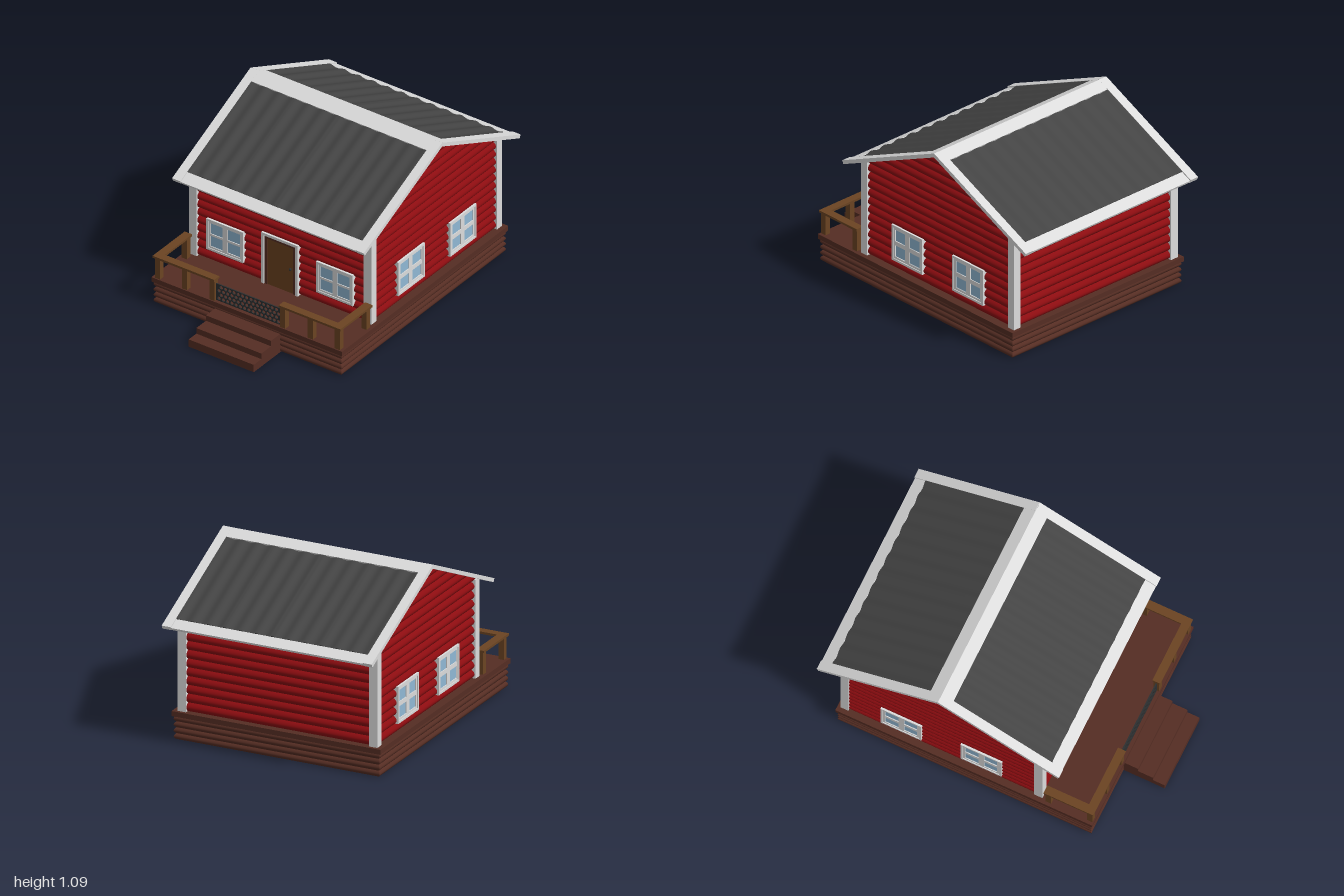
import * as THREE from 'three';
import { toCreasedNormals } from 'three/addons/utils/BufferGeometryUtils.js';

const mat = (name, color, side = THREE.FrontSide) => {
  const m = new THREE.MeshStandardMaterial({ color, side });
  m.name = name;
  return m;
};

export function createModel() {
  const model = new THREE.Group();
  model.name = 'cabin';
  const red = mat('red logs', 0x8c0c10, THREE.DoubleSide);
  const white = mat('white trim', 0xdcdcdc);
  const roofGrey = mat('roof grey', 0x444444);
  const deckBrown = mat('deck brown', 0x552d23, THREE.DoubleSide);
  const wood = mat('rail wood', 0x6b4422);
  const doorWood = mat('door wood', 0x6b421f);
  const glass = mat('glass blue', 0x90b8d4);
  const iron = mat('dark iron', 0x2c2f30, THREE.DoubleSide);

  const add = (parent, name, geo, material, x = 0, y = 0, z = 0) => {
    const m = new THREE.Mesh(geo, material);
    m.name = name;
    m.position.set(x, y, z);
    parent.add(m);
    return m;
  };
  // box given by its minimum and maximum corners
  const box = (parent, name, material, [x0, y0, z0], [x1, y1, z1]) =>
    add(parent, name, new THREE.BoxGeometry(x1 - x0, y1 - y0, z1 - z0), material,
      (x0 + x1) / 2, (y0 + y1) / 2, (z0 + z1) / 2);

  // stacked rounded logs facing +z; half(y, recess) gives the half width at a height
  const logWall = (y0, y1, pitch, bulge, half) => {
    const pos = [], idx = [], n = 10;
    for (let base = y0; base < y1 - 1e-4; base += pitch) {
      const start = pos.length / 3;
      for (let i = 0; i <= n; i++) {
        const t = i / n, y = Math.min(base + t * pitch, y1);
        const z = bulge * (Math.pow(Math.max(0, Math.sin(Math.PI * t)), 0.7) - 1);
        const w = half(y, z);
        pos.push(-w, y, z, w, y, z);
        if (i < n) {
          const a = start + i * 2;
          idx.push(a, a + 1, a + 3, a, a + 3, a + 2);
        }
      }
    }
    const g = new THREE.BufferGeometry();
    g.setAttribute('position', new THREE.Float32BufferAttribute(pos, 3));
    g.setIndex(idx);
    g.computeVertexNormals();
    return g;
  };

  // foundation with lapped boards, and the deck on top
  const zc = -0.067;
  box(model, 'foundationCore', deckBrown, [-0.652, 0, -0.862], [0.652, 0.15, 0.728]);
  for (let i = 0; i < 4; i++) {
    const alongX = i % 2 === 0, w = alongX ? 0.665 : 0.808, d = alongX ? 0.808 : 0.665;
    const m = add(model, 'foundationBoards', logWall(0, 0.146, 0.0365, 0.014, (y, z) => w + z), deckBrown);
    m.rotation.y = i * Math.PI / 2;
    m.position.set(Math.sin(m.rotation.y) * d, 0, zc + Math.cos(m.rotation.y) * d);
  }
  box(model, 'deck', deckBrown, [-0.674, 0.145, -0.885], [0.674, 0.176, 0.75]);

  // steps
  [[0.125, 0.83], [0.088, 0.925], [0.05, 1]].forEach(([y, z]) =>
    box(model, 'step', deckBrown, [-0.23, 0, 0.72], [0.23, y, z]));

  // log walls: front, right, back, left
  const cz = -0.2225, gable = y => Math.max(0, Math.min(0.635, (1.076 - y) / 0.4545));
  for (let i = 0; i < 4; i++) {
    const alongX = i % 2 === 0, d = alongX ? 0.637 : 0.638;
    const geo = alongX ? logWall(0.175, 0.785, 0.054, 0.022, () => 0.63)
      : logWall(0.175, 1.076, 0.054, 0.022, gable);
    const m = add(model, alongX ? 'longWall' : 'gableWall', geo, red);
    m.rotation.y = i * Math.PI / 2;
    m.position.set(Math.sin(m.rotation.y) * d, 0, cz + Math.cos(m.rotation.y) * d);
  }

  // corner posts
  for (const s of [-1, 1]) {
    const x = s * 0.618;
    box(model, 'cornerPost', white, [x - 0.027, 0.175, 0.368], [x + 0.027, 0.785, 0.42]);
    box(model, 'cornerPost', white, [x - 0.027, 0.175, -0.866], [x + 0.027, 0.785, -0.815]);
  }

  // roof: two slopes hinged on the ridge, local +z runs down the slope
  const len = 0.846, tilt = Math.atan2(0.35, 0.77);
  const wave = new THREE.Shape();
  wave.moveTo(-0.62, -0.016);
  wave.lineTo(0.62, -0.016);
  const steps = 144;
  for (let i = steps; i >= 0; i--)
    wave.lineTo(-0.62 + 1.24 * i / steps, -0.006 + 0.005 * Math.cos(i / steps * Math.PI * 24));
  const sheet = toCreasedNormals(
    new THREE.ExtrudeGeometry(wave, { depth: 0.695, bevelEnabled: false, curveSegments: 1 }), 0.7);
  for (const back of [false, true]) {
    const side = new THREE.Group(), slope = new THREE.Group();
    side.name = back ? 'backRoof' : 'frontRoof';
    slope.name = 'roofSlope';
    side.position.set(0, 1.092, -0.23);
    side.rotation.y = back ? Math.PI : 0;
    slope.rotation.x = tilt;
    side.add(slope);
    model.add(side);
    box(slope, 'roofBoard', white, [-0.675, -0.022, 0], [0.675, -0.012, len]);
    add(slope, 'corrugatedSheet', sheet, roofGrey, 0, 0, 0.075);
    box(slope, 'ridgeTrim', white, [-0.678, -0.016, 0], [0.678, 0, 0.08]);
    box(slope, 'eaveTrim', white, [-0.678, -0.022, 0.77], [0.678, -0.007, len]);
    for (const s of [-1, 1])
      box(slope, 'vergeTrim', white, [s * 0.649 - 0.029, -0.023, 0.002], [s * 0.649 + 0.029, 0.0005, len + 0.001]);
  }

  // windows
  const rect = (T, x0, y0, x1, y1) => {
    const p = new T();
    p.moveTo(x0, y0);
    p.lineTo(x1, y0);
    p.lineTo(x1, y1);
    p.lineTo(x0, y1);
    p.closePath();
    return p;
  };
  const windowUnit = (w, h, border, vBar, hBar) => {
    const g = new THREE.Group();
    g.name = 'window';
    const casing = rect(THREE.Shape, -w / 2, -h / 2, w / 2, h / 2);
    const c = 0.014;
    casing.holes.push(rect(THREE.Path, -w / 2 + c, -h / 2 + c, w / 2 - c, h / 2 - c));
    const sash = rect(THREE.Shape, -w / 2 + c, -h / 2 + c, w / 2 - c, h / 2 - c);
    for (const sx of [-1, 1]) for (const sy of [-1, 1]) {
      const xs = [sx * vBar / 2, sx * (w / 2 - border)].sort((a, b) => a - b);
      const ys = [sy * hBar / 2, sy * (h / 2 - border)].sort((a, b) => a - b);
      sash.holes.push(rect(THREE.Path, xs[0], ys[0], xs[1], ys[1]));
    }
    const ext = (s, depth) => new THREE.ExtrudeGeometry(s, { depth, bevelEnabled: false });
    add(g, 'windowCasing', ext(casing, 0.03), white, 0, 0, -0.03);
    add(g, 'windowSash', ext(sash, 0.02), white, 0, 0, -0.025);
    add(g, 'windowGlass', new THREE.BoxGeometry(w - 0.03, h - 0.03, 0.008), glass, 0, 0, -0.014);
    model.add(g);
    return g;
  };
  for (const s of [-1, 1]) {
    windowUnit(0.26, 0.21, 0.026, 0.033, 0.014).position.set(s * 0.388, 0.363, 0.428);
    for (const z of [0.03, -0.48]) {
      const w = windowUnit(0.26, 0.23, 0.028, 0.036, 0.028);
      w.position.set(s * 0.649, 0.35, z);
      w.rotation.y = s * Math.PI / 2;
    }
  }

  // door
  for (const s of [-1, 1]) {
    box(model, 'doorCasing', white, [s * 0.12 - 0.009, 0.176, 0.39], [s * 0.12 + 0.009, 0.505, 0.428]);
    box(model, 'doorJamb', deckBrown, [s * 0.102 - 0.009, 0.176, 0.39], [s * 0.102 + 0.009, 0.505, 0.422]);
  }
  box(model, 'doorCasing', white, [-0.129, 0.505, 0.39], [0.129, 0.522, 0.428]);
  box(model, 'doorJamb', deckBrown, [-0.093, 0.488, 0.39], [0.093, 0.505, 0.422]);
  box(model, 'door', doorWood, [-0.093, 0.176, 0.39], [0.093, 0.488, 0.418]);
  add(model, 'doorKnob', new THREE.SphereGeometry(0.009, 12, 8), iron, 0.074, 0.34, 0.424);

  // porch railing, mirrored
  for (const s of [-1, 1]) {
    const post = (x, z) => box(model, 'railPost', wood,
      [s * x - 0.018, 0.176, z - 0.018], [s * x + 0.018, 0.314, z + 0.018]);
    [0.25, 0.445, 0.636].forEach(x => post(x, 0.725));
    post(0.636, 0.462);
    const bar = (x0, x1, z0, z1) => box(model, 'handrail', wood,
      [Math.min(s * x0, s * x1), 0.313, z0], [Math.max(s * x0, s * x1), 0.327, z1]);
    bar(0.228, 0.664, 0.702, 0.752);
    bar(0.612, 0.664, 0.436, 0.702);
  }

  // pierced gate panel between the inner posts
  const gate = rect(THREE.Shape, -0.232, 0.178, 0.232, 0.29);
  for (let r = 0; r < 4; r++)
    for (let c = 0; c < 15 - r % 2; c++) {
      const hole = new THREE.Path();
      hole.absarc(-0.21 + (c + (r % 2) / 2) * 0.03, 0.195 + r * 0.026, 0.0115, 0, Math.PI * 2, true);
      gate.holes.push(hole);
    }
  add(model, 'gatePanel', new THREE.ExtrudeGeometry(gate, { depth: 0.008, bevelEnabled: false, curveSegments: 6 }),
    iron, 0, 0, 0.721);

  return model;
}
